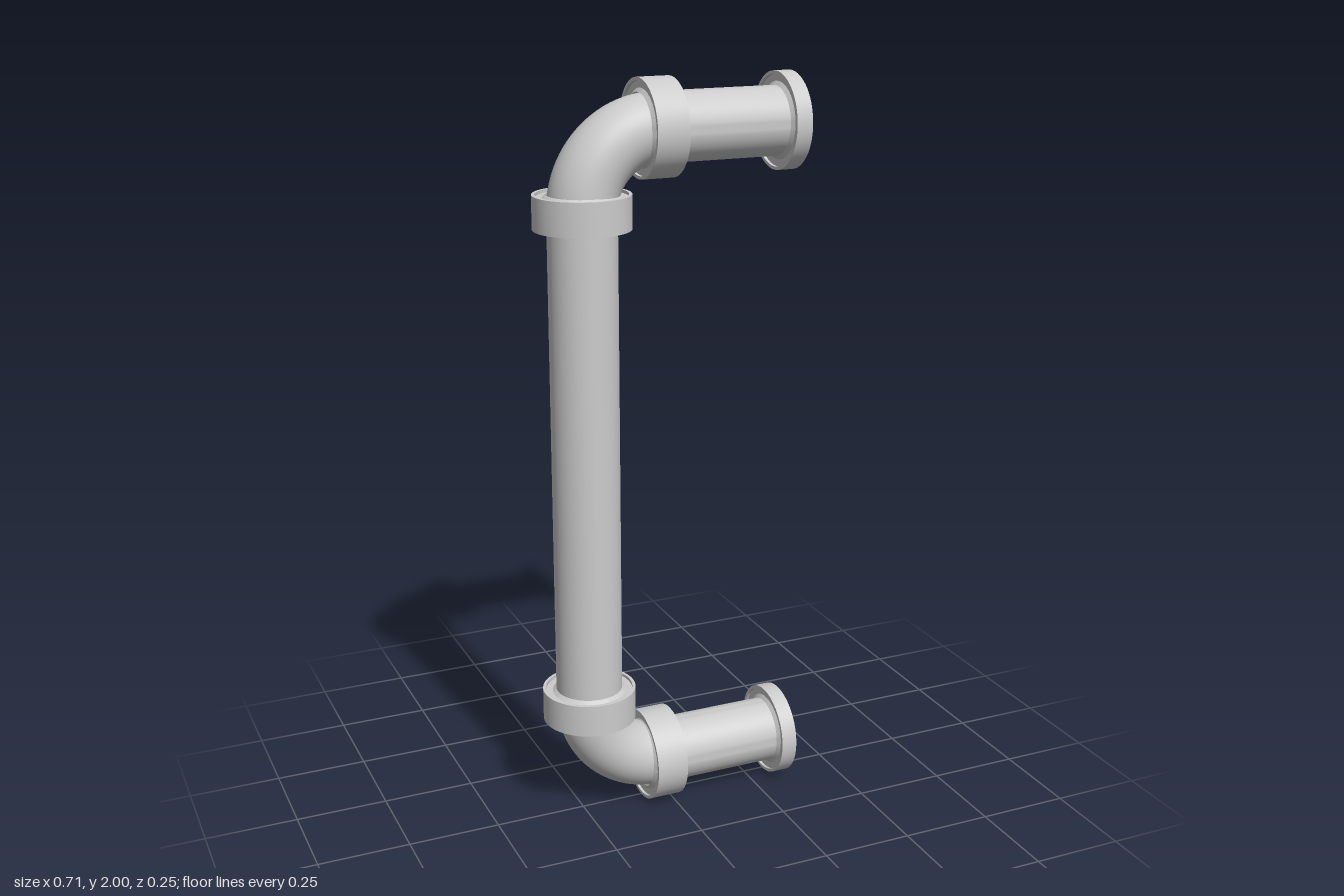
import * as THREE from 'three';
import { toCreasedNormals } from 'three/addons/utils/BufferGeometryUtils.js';

const SEG = 64;
const OUT = 0.09, BORE = 0.083;          // pipe radii
const RIM = 0.1265, RIM_IN = 0.118;      // collar radii
const HALF = 0.044;                      // half the collar length
const BEND = 0.197;                      // elbow centreline radius
const X = -0.2265, LOW = RIM, HIGH = 2 - RIM;
const END = 0.353;                       // open end of the stubs

const material = new THREE.MeshStandardMaterial({ color: 0xcccccc, side: THREE.DoubleSide });

function lathe(name, profile) {
  const points = profile.map(([r, y]) => new THREE.Vector2(r, y));
  points.push(points[0].clone());
  const geometry = toCreasedNormals(new THREE.LatheGeometry(points, SEG), 0.5);
  const mesh = new THREE.Mesh(geometry, material);
  mesh.name = name;
  return mesh;
}

// Hollow straight pipe along y, centred
function pipe(name, length) {
  const h = length / 2;
  return lathe(name, [[BORE, -h], [OUT, -h], [OUT, h], [BORE, h]]);
}

// Collar with a recessed face and a small raised hub on both sides
function collar(name) {
  const f = HALF - 0.008;
  return lathe(name, [
    [OUT, -HALF], [0.1, -f], [RIM_IN, -f], [RIM_IN, -HALF], [RIM, -HALF],
    [RIM, HALF], [RIM_IN, HALF], [RIM_IN, f], [0.1, f], [OUT, HALF],
  ]);
}

// Half collar whose open side is a deep cup
function endFlange(name) {
  const f = HALF - 0.008, floor = -0.028;
  return lathe(name, [
    [OUT, -HALF], [0.1, -f], [RIM_IN, -f], [RIM_IN, -HALF], [RIM, -HALF],
    [RIM, 0], [RIM_IN, 0], [RIM_IN, floor], [0.1, floor], [0.094, floor + 0.006],
    [BORE, floor + 0.006], [BORE, -HALF],
  ]);
}

// Quarter bend, turning from the upright to the stub
function elbow(name) {
  const group = new THREE.Group();
  group.name = name;
  for (const [part, r] of [['elbowOuter', OUT], ['elbowBore', BORE]]) {
    const mesh = new THREE.Mesh(new THREE.TorusGeometry(BEND, r, SEG, 24, Math.PI / 2), material);
    mesh.name = part;
    group.add(mesh);
  }
  return group;
}

export function createModel() {
  const model = new THREE.Group();
  model.name = 'pipeAssembly';
  const add = (mesh, x, y, alongX = false) => {
    mesh.position.set(x, y, 0);
    if (alongX) mesh.rotation.z = -Math.PI / 2;
    model.add(mesh);
  };

  add(pipe('uprightPipe', HIGH - LOW - 2 * BEND), X, 1);

  const joint = X + BEND;                // where each elbow meets its stub
  const stubEnd = END - 0.028;
  for (const [prefix, y, s] of [['upper', HIGH, 1], ['lower', LOW, -1]]) {
    const bend = elbow(prefix + 'Elbow');
    bend.rotation.z = s > 0 ? Math.PI / 2 : Math.PI;
    add(bend, joint, y - s * BEND);
    add(collar(prefix + 'UprightCollar'), X, y - s * BEND);
    add(collar(prefix + 'StubCollar'), joint, y, true);
    add(pipe(prefix + 'StubPipe', stubEnd - joint), (joint + stubEnd) / 2, y, true);
    add(endFlange(prefix + 'EndFlange'), END, y, true);
  }
  return model;
}
